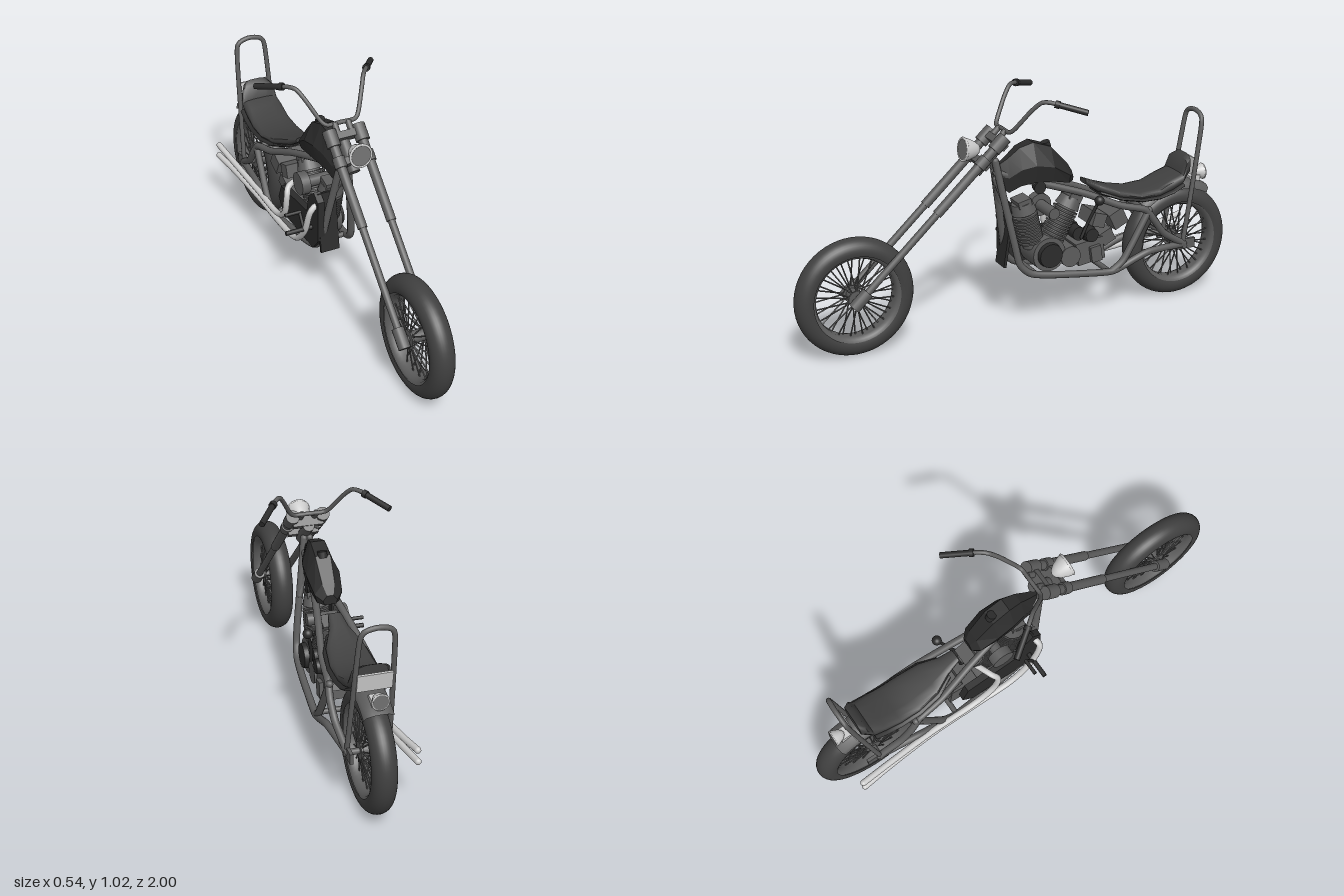
import * as THREE from 'three';
import { toCreasedNormals } from 'three/addons/utils/BufferGeometryUtils.js';

const mat = (color, side = THREE.FrontSide) => new THREE.MeshStandardMaterial({ color, side });
const steel = mat(0x5c5c5c), dark = mat(0x2b2b2b), rubber = mat(0x404040), chrome = mat(0xcccccc);
const fenderMat = mat(0x5c5c5c, THREE.DoubleSide), glass = mat(0x707070);
const V = (p) => new THREE.Vector3(...p);
const flip = ([x, y, z]) => [-x, y, z];
const UP = new THREE.Vector3(0, 1, 0);

function add(parent, name, geo, material, pos = [0, 0, 0], rot = [0, 0, 0]) {
  const m = new THREE.Mesh(geo, material);
  m.name = name;
  m.position.set(...pos);
  m.rotation.set(...rot);
  parent.add(m);
  return m;
}
const box = (g, name, size, pos, material = steel, rot) =>
  add(g, name, new THREE.BoxGeometry(...size), material, pos, rot);

// straight round bar from a to b, r1 at a and r2 at b
function rod(g, name, a, b, r1, material = steel, r2 = r1, seg = 16) {
  const d = V(b).sub(V(a)), mid = V(a).add(V(b)).multiplyScalar(0.5);
  const m = add(g, name, new THREE.CylinderGeometry(r2, r1, d.length(), seg), material, mid.toArray());
  m.quaternion.setFromUnitVectors(UP, d.normalize());
  return m;
}
// bent pipe with closed ends
function pipe(g, name, pts, r, material = steel, tension = 0.35) {
  const curve = new THREE.CatmullRomCurve3(pts.map(V), false, 'catmullrom', tension);
  add(g, name, new THREE.TubeGeometry(curve, pts.length * 9, r, 12), material);
  for (const p of [pts[0], pts[pts.length - 1]])
    add(g, name + 'End', new THREE.SphereGeometry(r, 12, 8), material, p);
}
const pipePair = (g, name, pts, r, material, tension) => {
  pipe(g, name + 'Left', pts, r, material, tension);
  pipe(g, name + 'Right', pts.map(flip), r, material, tension);
};
// body through counter-clockwise rings running from front to back
function loft(rings, crease) {
  const n = rings[0].length, idx = [], last = (rings.length - 1) * n;
  for (let i = 0; i < rings.length - 1; i++)
    for (let j = 0; j < n; j++) {
      const a = i * n + j, b = i * n + (j + 1) % n, c = a + n, d = b + n;
      idx.push(a, c, b, b, c, d);
    }
  for (let j = 1; j < n - 1; j++) idx.push(0, j, j + 1, last, last + j + 1, last + j);
  const geo = new THREE.BufferGeometry();
  geo.setAttribute('position', new THREE.Float32BufferAttribute(rings.flat(2), 3));
  geo.setIndex(idx);
  return toCreasedNormals(geo, crease);
}
// surface turned about the x axis: profile is [radius, x]; angle 0 is forward, PI/2 is up
function turned(profile, seg, start = 0, len = Math.PI * 2) {
  const pts = profile.map(([r, x]) => new THREE.Vector2(r, -x));
  return new THREE.LatheGeometry(pts.reverse(), seg, start, len).rotateZ(Math.PI / 2);
}

function wheel(name, z, hubHalf) {
  const g = new THREE.Group();
  g.name = name;
  g.position.set(0, 0.253, z);
  const tyre = [], rim = mat(0x5c5c5c, THREE.DoubleSide), tyreMat = mat(0x404040, THREE.DoubleSide);
  for (let i = 0; i <= 20; i++) {
    const a = -0.35 + (Math.PI + 0.7) * i / 20;
    tyre.push([0.202 + 0.05 * Math.sin(a), 0.05 * Math.cos(a)]);
  }
  add(g, 'tyre', turned(tyre, 56), tyreMat);
  add(g, 'rim', turned([[0.19, 0.043], [0.175, 0.038], [0.168, 0.02], [0.168, -0.02], [0.175, -0.038], [0.19, -0.043]], 56), rim);
  rod(g, 'hub', [-0.035, 0, 0], [0.035, 0, 0], 0.026);
  for (const s of [-1, 1]) rod(g, 'hubFlange', [s * 0.028, 0, 0], [s * 0.036, 0, 0], 0.036, steel, 0.036, 24);
  rod(g, 'axle', [-hubHalf, 0, 0], [hubHalf, 0, 0], 0.013);
  // alternating spokes to both hub flanges
  const count = 40;
  for (let i = 0; i < count; i++) {
    const a = i / count * Math.PI * 2, b = a + (i % 4 < 2 ? 0.12 : -0.12), s = i % 2 ? 1 : -1;
    rod(g, 'spoke', [s * 0.032, 0.03 * Math.sin(b), 0.03 * Math.cos(b)],
      [s * 0.008, 0.171 * Math.sin(a), 0.171 * Math.cos(a)], 0.0032, steel, 0.0032, 5);
  }
  return g;
}

function frontFork() {
  const g = new THREE.Group();
  g.name = 'frontFork';
  g.position.set(0, 0.253, 0.748);
  g.rotation.x = -0.82;
  for (const s of [-1, 1]) {
    const x = s * 0.064;
    rod(g, 'axleClamp', [x, -0.035, 0], [x, 0.05, 0], 0.025);
    rod(g, 'lowerTube', [x, 0, 0], [x, 0.5, 0], 0.015);
    rod(g, 'upperTube', [x, 0.465, 0], [x, 0.86, 0], 0.02);
    rod(g, 'topCap', [x, 0.81, 0], [x, 0.88, 0], 0.029);
    rod(g, 'lowerCap', [x, 0.72, 0], [x, 0.765, 0], 0.026);
    rod(g, 'barRiser', [s * 0.03, 0.85, 0], [s * 0.03, 0.905, 0], 0.013);
  }
  box(g, 'topYoke', [0.13, 0.03, 0.055], [0, 0.85, -0.012]);
  box(g, 'lowerYoke', [0.13, 0.03, 0.055], [0, 0.742, -0.012]);
  rod(g, 'steeringNeck', [0, 0.7, -0.04], [0, 0.86, -0.04], 0.024);
  return g;
}

// finned engine cylinder with a head, from a (base) to b (top)
function engineCylinder(g, a, b) {
  const A = V(a), B = V(b), at = (t) => A.clone().lerp(B, t).toArray();
  rod(g, 'barrel', a, b, 0.042);
  for (let i = 0; i < 10; i++) rod(g, 'coolingFin', at(0.12 + i * 0.065), at(0.155 + i * 0.065), 0.056, steel, 0.056, 24);
  rod(g, 'cylinderHead', at(0.78), at(1), 0.055, steel, 0.045);
  const top = box(g, 'rockerCover', [0.08, 0.03, 0.06], at(1.02));
  top.quaternion.setFromUnitVectors(UP, B.sub(A).normalize());
}

function engine() {
  const g = new THREE.Group();
  g.name = 'engine';
  engineCylinder(g, [0, 0.34, -0.05], [0, 0.54, 0.0]);
  engineCylinder(g, [0, 0.34, -0.13], [0, 0.53, -0.235]);
  rod(g, 'crankcase', [-0.065, 0.31, -0.1], [0.065, 0.31, -0.1], 0.075, steel, 0.075, 28);
  rod(g, 'timingCover', [0.06, 0.31, -0.1], [0.085, 0.31, -0.1], 0.056, dark, 0.052, 28);
  rod(g, 'alternator', [-0.06, 0.285, -0.2], [0.07, 0.285, -0.2], 0.046, steel, 0.046, 24);
  box(g, 'gearbox', [0.12, 0.1, 0.13], [0, 0.29, -0.3], steel, [0.15, 0, 0]);
  box(g, 'gearboxCover', [0.02, 0.07, 0.05], [0.068, 0.28, -0.32], steel, [0.15, 0, 0]);
  rod(g, 'clutchCover', [0.04, 0.37, -0.295], [0.082, 0.37, -0.295], 0.036, dark, 0.03, 24);
  rod(g, 'starter', [0.02, 0.385, -0.235], [0.075, 0.385, -0.235], 0.03, dark);
  rod(g, 'carburettor', [-0.075, 0.49, -0.12], [0.07, 0.49, -0.12], 0.025);
  rod(g, 'airFilter', [-0.1, 0.49, -0.12], [-0.06, 0.49, -0.12], 0.05, steel, 0.05, 24);
  rod(g, 'horn', [0.015, 0.61, -0.06], [0.055, 0.61, -0.06], 0.02, dark, 0.027);
  box(g, 'oilTank', [0.14, 0.075, 0.07], [0, 0.42, -0.43], steel, [0.45, 0, 0]);
  box(g, 'battery', [0.13, 0.06, 0.06], [0, 0.425, -0.34], steel, [-0.3, 0, 0]);
  box(g, 'regulator', [0.11, 0.06, 0.06], [0, 0.34, -0.385], steel, [0.45, 0, 0]);
  // belt drive cover on the right side
  const s = new THREE.Shape([[0.02, 0.25], [0.07, 0.31], [0.07, 0.5], [0.03, 0.53], [-0.02, 0.49], [-0.04, 0.4], [-0.3, 0.38], [-0.33, 0.31], [-0.28, 0.25]]
    .map(([z, y]) => new THREE.Vector2(-z, y)));
  add(g, 'driveCover', new THREE.ExtrudeGeometry(s, { depth: 0.03, bevelEnabled: false }).rotateY(Math.PI / 2), dark, [-0.098, 0, 0]);
  box(g, 'frontPanel', [0.085, 0.27, 0.012], [-0.045, 0.39, 0.055], dark, [-0.15, 0, 0]);
  return g;
}

function frame() {
  const g = new THREE.Group();
  g.name = 'frame';
  const r = 0.0155;
  pipePair(g, 'cradleTube', [[0.012, 0.74, 0.125], [0.03, 0.6, 0.1], [0.06, 0.38, 0.06], [0.07, 0.29, 0.04], [0.08, 0.245, -0.01],
    [0.09, 0.225, -0.12], [0.104, 0.2, -0.36], [0.106, 0.215, -0.43], [0.105, 0.26, -0.56], [0.085, 0.258, -0.75]], r);
  pipePair(g, 'seatTube', [[0.104, 0.2, -0.38], [0.106, 0.25, -0.44], [0.1, 0.45, -0.56]], r);
  pipePair(g, 'upperTube', [[0.012, 0.69, 0.12], [0.03, 0.62, -0.08], [0.06, 0.56, -0.26], [0.09, 0.49, -0.42], [0.1, 0.455, -0.54],
    [0.105, 0.4, -0.585], [0.1, 0.33, -0.64], [0.085, 0.258, -0.75]], r);
  pipePair(g, 'neckBrace', [[0, 0.66, 0.12], [0.045, 0.5, 0.075]], 0.012);
  for (const [y, z, x] of [[0.2, -0.37, 0.1], [0.455, -0.54, 0.1], [0.24, -0.03, 0.08]])
    rod(g, 'crossTube', [-x, y, z], [x, y, z], 0.012);
  for (const s of [-1, 1]) box(g, 'axlePlate', [0.014, 0.045, 0.09], [s * 0.083, 0.258, -0.76]);
  return g;
}

function lamp(g, name, pos, tilt, r, depth) {
  const l = new THREE.Group();
  l.name = name;
  l.position.set(...pos);
  l.rotation.x = tilt;
  const pts = [[0.001, -1], [0.35, -0.9], [0.65, -0.65], [0.9, -0.25], [1, 0]].map(([a, b]) => new THREE.Vector2(a * r, b * depth));
  add(l, 'shell', new THREE.LatheGeometry(pts, 28), chrome);
  add(l, 'bezel', new THREE.TorusGeometry(r * 0.93, r * 0.1, 10, 32).rotateX(Math.PI / 2), chrome);
  add(l, 'lens', new THREE.CylinderGeometry(r * 0.88, r * 0.88, 0.006, 28), glass);
  g.add(l);
}

export function createModel() {
  const g = new THREE.Group();
  g.name = 'motorcycle';
  g.add(wheel('frontWheel', 0.748, 0.075), wheel('rearWheel', -0.748, 0.1), frontFork(), engine(), frame());

  // handlebar and grips
  pipePair(g, 'handlebar', [[0, 0.87, 0.085], [0.06, 0.87, 0.085], [0.085, 0.89, 0.07], [0.125, 0.965, 0.02], [0.15, 1.003, -0.015], [0.178, 1.006, -0.05], [0.25, 0.977, -0.15]], 0.009);
  for (const s of [-1, 1]) {
    rod(g, 'grip', [s * 0.19, 1.001, -0.066], [s * 0.262, 0.972, -0.168], 0.0125, dark);
    rod(g, 'gripCollar', [s * 0.185, 1.003, -0.06], [s * 0.196, 0.999, -0.074], 0.016, dark);
  }
  lamp(g, 'headlight', [0, 0.806, 0.262], 1.45, 0.05, 0.075);
  rod(g, 'headlightBracket', [0, 0.72, 0.17], [0, 0.79, 0.225], 0.013);

  // faceted fuel tank: z, half width, bottom, top
  const tank = [[0.11, 0.022, 0.63, 0.72], [0.07, 0.035, 0.6, 0.745], [0.02, 0.05, 0.625, 0.785], [-0.04, 0.066, 0.635, 0.803], [-0.12, 0.07, 0.63, 0.775], [-0.2, 0.058, 0.61, 0.69], [-0.228, 0.03, 0.61, 0.65]];
  add(g, 'fuelTank', loft(tank.map(([z, w, b, t]) => {
    const m = b + (t - b) * 0.45;
    return [[w * 0.8, b, z], [w, m, z], [w * 0.45, t, z], [-w * 0.45, t, z], [-w, m, z], [-w * 0.8, b, z]];
  }), 0.1), dark);
  rod(g, 'fuelCap', [0, 0.765, -0.115], [0, 0.79, -0.107], 0.02, dark);

  // seat with raised back: z, half width, bottom, top
  const seat = [[-0.29, 0.028, 0.582, 0.605], [-0.35, 0.042, 0.54, 0.58], [-0.43, 0.078, 0.512, 0.548], [-0.53, 0.09, 0.492, 0.524], [-0.62, 0.09, 0.492, 0.53], [-0.69, 0.088, 0.508, 0.562], [-0.74, 0.085, 0.53, 0.578], [-0.76, 0.08, 0.55, 0.64], [-0.785, 0.062, 0.56, 0.655]];
  const ring = (z, w, b, t) => Array.from({ length: 14 }, (_, i) => {
    const a = i / 14 * Math.PI * 2, p = (v) => Math.sign(v) * Math.abs(v) ** 0.6;
    return [w * p(Math.cos(a)), (b + t) / 2 + (t - b) / 2 * p(Math.sin(a)), z];
  });
  add(g, 'seat', loft(seat.map((s) => ring(...s)), 0.9), rubber);
  add(g, 'seatPan', loft(seat.slice(1, 7).map(([z, w, b]) => ring(z, w + 0.012, b - 0.008, b + 0.01)), 0.9), dark);

  // rear fender, backrest bar, plate and tail lamp
  add(g, 'rearFender', turned([[0.25, 0.062], [0.272, 0.055], [0.283, 0.03], [0.286, 0], [0.283, -0.03], [0.272, -0.055], [0.25, -0.062]], 28, 0.75, 1.35), fenderMat, [0, 0.253, -0.748]);
  const bar = [[0.085, 0.26, -0.745], [0.078, 0.5, -0.785], [0.068, 0.78, -0.828], [0.05, 0.826, -0.834]];
  pipe(g, 'backrestBar', [...bar, [0, 0.838, -0.836], ...bar.map(flip).reverse()], 0.0105);
  box(g, 'numberPlate', [0.14, 0.075, 0.01], [0, 0.595, -0.81], chrome, [-0.14, 0, 0]);
  lamp(g, 'tailLamp', [0, 0.55, -0.885], -1.57, 0.035, 0.05);
  box(g, 'tailBracket', [0.05, 0.035, 0.05], [0, 0.525, -0.835], chrome);

  // twin exhausts on the right side
  pipe(g, 'frontExhaust', [[-0.04, 0.47, 0.02], [-0.1, 0.472, 0.045], [-0.125, 0.44, 0.045], [-0.128, 0.33, 0.0], [-0.125, 0.24, -0.1], [-0.118, 0.21, -0.28], [-0.12, 0.215, -0.5], [-0.14, 0.235, -0.72], [-0.16, 0.247, -0.87]], 0.0135, chrome, 0.5);
  pipe(g, 'rearExhaust', [[-0.04, 0.45, -0.22], [-0.11, 0.445, -0.19], [-0.13, 0.4, -0.17], [-0.128, 0.31, -0.2], [-0.122, 0.25, -0.3], [-0.122, 0.25, -0.5], [-0.14, 0.275, -0.72], [-0.157, 0.3, -0.87]], 0.0135, chrome, 0.5);

  // foot controls and hand shifter
  rod(g, 'footPeg', [-0.09, 0.35, 0.01], [-0.218, 0.35, 0.01], 0.01, dark);
  rod(g, 'footPedal', [-0.13, 0.412, -0.03], [-0.203, 0.412, -0.03], 0.008, dark);
  pipe(g, 'pedalArm', [[-0.135, 0.35, 0.01], [-0.135, 0.412, -0.03]], 0.007, dark);
  pipe(g, 'shiftLever', [[0.085, 0.37, -0.24], [0.09, 0.43, -0.265], [0.115, 0.535, -0.305]], 0.007, dark);
  add(g, 'shiftKnob', new THREE.SphereGeometry(0.021, 20, 14), dark, [0.116, 0.536, -0.307]);
  return g;
}
